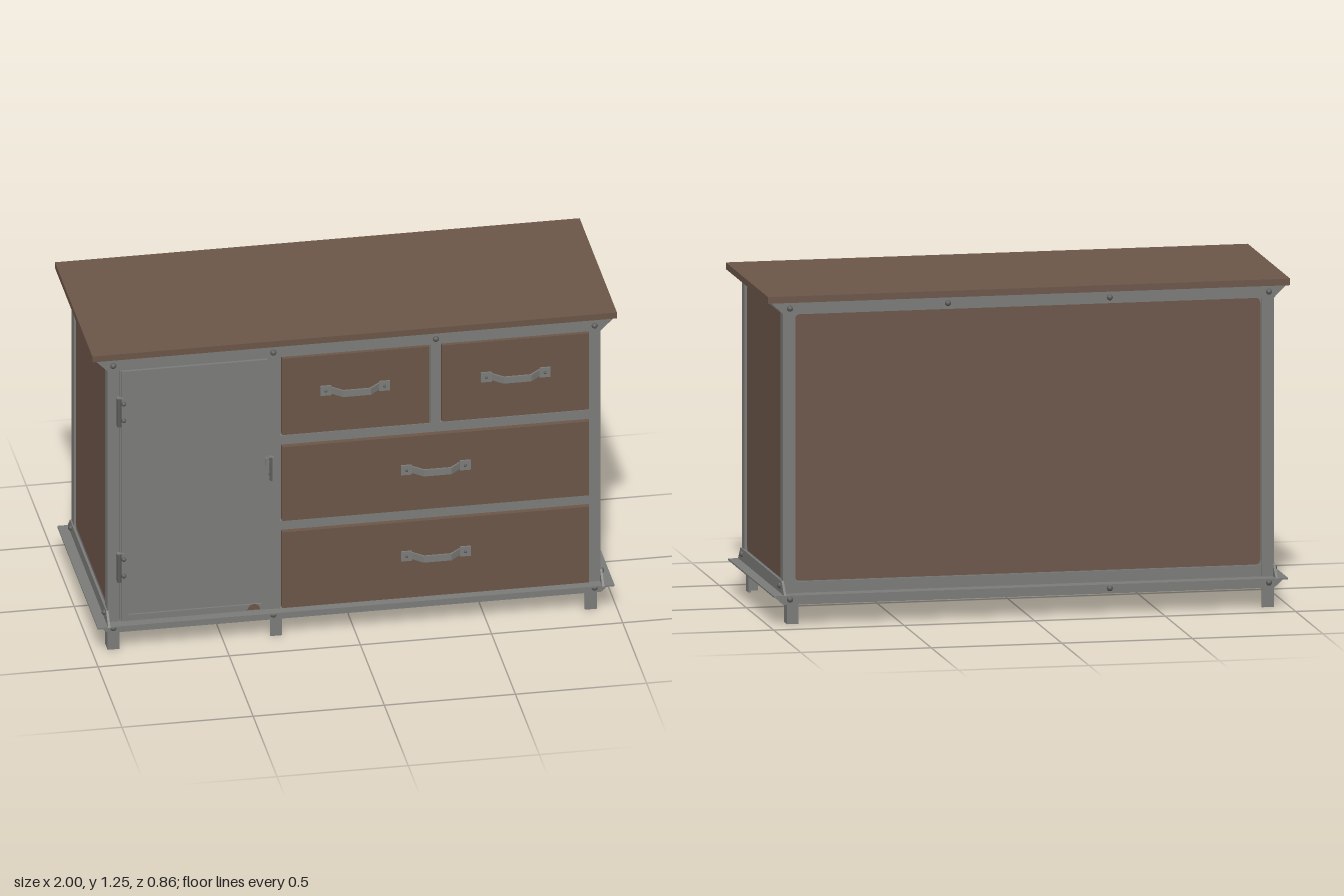
import * as THREE from 'three';

const wood = new THREE.MeshStandardMaterial({ color: 0x6b5548, name: 'brownPaint' });
const steel = new THREE.MeshStandardMaterial({ color: 0x7a7a78, name: 'greySteel' });
const dark = new THREE.MeshStandardMaterial({ color: 0x5c5c5a, name: 'darkSteel' });

export function createModel() {
  const root = new THREE.Group();
  root.name = 'sideboard';

  const add = (name, geo, mat, parent = root) => {
    const m = new THREE.Mesh(geo, mat);
    m.name = name;
    parent.add(m);
    return m;
  };
  // Box given by its limits on each axis
  const box = (name, mat, x0, x1, y0, y1, z0, z1, parent = root) => {
    const m = add(name, new THREE.BoxGeometry(x1 - x0, y1 - y0, z1 - z0), mat, parent);
    m.position.set((x0 + x1) / 2, (y0 + y1) / 2, (z0 + z1) / 2);
    return m;
  };
  const plate = (points, depth) => new THREE.ExtrudeGeometry(
    new THREE.Shape(points.map(p => new THREE.Vector2(...p))), { depth, bevelEnabled: false });

  // Rounded panel centred on its own origin
  const roundedPanel = (w, h, r, depth) => {
    const s = new THREE.Shape(), x = w / 2, y = h / 2;
    s.moveTo(-x + r, -y);
    s.lineTo(x - r, -y); s.quadraticCurveTo(x, -y, x, -y + r);
    s.lineTo(x, y - r); s.quadraticCurveTo(x, y, x - r, y);
    s.lineTo(-x + r, y); s.quadraticCurveTo(-x, y, -x, y - r);
    s.lineTo(-x, -y + r); s.quadraticCurveTo(-x, -y, -x + r, -y);
    return new THREE.ExtrudeGeometry(s, { depth, bevelEnabled: false, curveSegments: 5 });
  };

  // Domed bolt pointing along +z, turned about y
  const boltGeo = new THREE.SphereGeometry(0.012, 10, 5, 0, Math.PI * 2, 0, Math.PI / 2);
  boltGeo.rotateX(Math.PI / 2);
  const bolt = (x, y, z, turn = 0, parent = root, size = 1) => {
    const m = add('bolt', boltGeo, dark, parent);
    m.position.set(x, y, z);
    m.rotation.y = turn;
    m.scale.setScalar(size);
  };

  // Top board and carcass
  box('topBoard', wood, -1, 1, 1.225, 1.25, -0.4, 0.38);
  box('carcass', steel, -0.925, 0.925, 0.113, 1.225, -0.372, 0.36);

  // Corner posts of angle iron, and legs
  const angleIron = (name, x, z, sx, sz, y0, y1, wx, wz) => {
    const t = 0.009, g = new THREE.Group();
    g.name = name;
    root.add(g);
    const span = (a, s, w) => (s > 0 ? [a - w, a] : [a, a + w]);
    box('flange', steel, ...span(x, sx, wx), y0, y1, ...span(z, sz, t), g);
    box('flange', steel, ...span(x, sx, t), y0, y1, ...span(z - sz * t, sz, wz - t), g);
  };
  for (const sx of [-1, 1]) {
    for (const sz of [-1, 1]) {
      const z = sz > 0 ? 0.37 : -0.385;
      angleIron('cornerPost', sx * 0.94, z, sx, sz, 0.115, 1.225, 0.045, 0.05);
      angleIron('leg', sx > 0 ? 0.925 : -0.94, z, sx, sz, 0, 0.114, 0.045, 0.05);
    }
  }
  angleIron('middleLeg', -0.275, 0.37, 1, 1, 0, 0.114, 0.045, 0.05);

  // Front and back rails with slanted ends
  for (const [sz, z] of [[1, 0.37], [-1, -0.385]]) {
    const zBack = sz > 0 ? z : z - 0.009;
    const face = z + sz * 0.009, turn = sz > 0 ? 0 : Math.PI;
    for (const [name, y0, y1] of [['topRail', 1.18, 1.225], ['bottomRail', 0.075, 0.115]]) {
      const g = plate([[-0.94, y0], [0.94, y0], [0.985, y1], [-0.985, y1]], 0.009);
      add(name, g, steel).position.z = zBack;
      for (const x of [-0.92, -0.31, 0.31, 0.915]) {
        if (y0 < 1 && x === 0.31) continue;
        bolt(x, (y0 + y1) / 2, face, turn);
      }
    }
  }

  // Side rails, panels and bolts
  for (const sx of [-1, 1]) {
    const side = new THREE.Group();
    side.name = sx > 0 ? 'leftSide' : 'rightSide';
    root.add(side);
    const xr = sx > 0 ? [0.93, 0.942] : [-0.942, -0.93];
    box('sideTopRail', steel, ...xr, 1.18, 1.225, -0.384, 0.369, side);
    const rail = plate([[-0.415, 0.115], [0.435, 0.115], [0.385, 0.165], [-0.37, 0.165]], 0.009);
    rail.rotateY(Math.PI / 2);
    add('sideBottomRail', rail, steel, side).position.x = sx > 0 ? 0.937 : -0.946;
    const p = add('sidePanel', roundedPanel(0.65, 1.012, 0.03, 0.009), wood, side);
    p.rotation.y = sx * Math.PI / 2;
    p.position.set(sx * 0.923, 0.67, -0.01);
    for (const z of [0.34, -0.36]) {
      bolt(sx * 0.942, 1.2, z, sx * Math.PI / 2, side);
      bolt(sx * 0.946, 0.145, z, sx * Math.PI / 2, side);
    }
  }

  // Ledge around the foot
  box('frontLedge', steel, -0.985, 0.985, 0.111, 0.117, 0.36, 0.412);
  box('backLedge', steel, -0.985, 0.985, 0.111, 0.117, -0.435, -0.37);
  for (const x of [-0.985, 0.92]) box('sideLedge', steel, x, x + 0.065, 0.111, 0.117, -0.37, 0.36);

  // Back panel with its lower frame bar
  box('backLowerBar', steel, -0.895, 0.895, 0.117, 0.16, -0.38, -0.37);
  const back = add('backPanel', roundedPanel(1.78, 1.015, 0.02, 0.007), wood);
  back.rotation.y = Math.PI;
  back.position.set(0, 0.67, -0.37);

  // Front frame bars between the drawers
  box('stile', steel, -0.325, -0.283, 0.117, 1.18, 0.36, 0.375);
  box('drawerDivider', steel, 0.29, 0.327, 0.845, 1.18, 0.36, 0.375);
  for (const y of [0.448, 0.808]) box('crossBar', steel, -0.283, 0.897, y, y + 0.038, 0.36, 0.375);

  // Bent strap handle, profile in x and z
  const strap = plate([[-0.132, 0], [-0.09, 0], [-0.05, 0.036], [0.05, 0.036], [0.09, 0], [0.132, 0],
    [0.132, 0.006], [0.092, 0.006], [0.053, 0.043], [-0.053, 0.043], [-0.092, 0.006], [-0.132, 0.006]], 0.027);
  strap.rotateX(Math.PI / 2);
  strap.translate(0, 0.0135, 0);

  // Drawers: left, right, top, bottom, handle x and y
  const drawers = [
    [-0.277, 0.285, 1.175, 0.853, 0, 1.028],
    [0.332, 0.893, 1.175, 0.853, 0.612, 1.028],
    [-0.277, 0.893, 0.802, 0.49, 0.308, 0.664],
    [-0.277, 0.893, 0.442, 0.122, 0.308, 0.3],
  ];
  for (const [x0, x1, y1, y0, hx, hy] of drawers) {
    const d = new THREE.Group();
    d.name = 'drawer';
    root.add(d);
    box('drawerFront', wood, x0, x1, y0, y1, 0.36, 0.385, d);
    add('handle', strap, steel, d).position.set(hx, hy, 0.385);
    for (const s of [-1, 1]) {
      const x = hx + s * 0.112;
      box('handleFoot', steel, x - 0.021, x + 0.021, hy - 0.02, hy + 0.02, 0.385, 0.392, d);
      bolt(x, hy, 0.392, 0, d, 0.5);
    }
  }

  // Door: plain sheet inside a raised border
  const door = new THREE.Group();
  door.name = 'door';
  root.add(door);
  box('doorSheet', steel, -0.893, -0.328, 0.122, 1.176, 0.36, 0.375, door);
  for (const x of [-0.888, -0.353]) box('doorBorder', steel, x, x + 0.025, 0.122, 1.176, 0.375, 0.383, door);
  for (const y of [0.122, 1.151]) box('doorBorder', steel, -0.863, -0.353, y, y + 0.025, 0.375, 0.383, door);

  // Hinges
  for (const y of [1.008, 0.352]) {
    const h = new THREE.Group();
    h.name = 'hinge';
    door.add(h);
    box('hingeLeaf', steel, -0.908, -0.88, y - 0.058, y + 0.058, 0.37, 0.39, h);
    const pin = add('hingePin', new THREE.CylinderGeometry(0.008, 0.008, 0.116, 10), dark, h);
    pin.position.set(-0.9, y, 0.392);
    for (const dy of [-0.035, 0.035]) bolt(-0.882, y + dy, 0.39, 0, h, 0.8);
  }

  // Latch with an upright grip
  const latch = new THREE.Group();
  latch.name = 'latch';
  door.add(latch);
  box('latchPlate', steel, -0.343, -0.31, 0.735, 0.765, 0.375, 0.394, latch);
  box('latchGrip', dark, -0.329, -0.319, 0.68, 0.775, 0.408, 0.417, latch);
  for (const y of [0.69, 0.755]) box('latchArm', steel, -0.329, -0.319, y, y + 0.012, 0.375, 0.41, latch);

  // Worn paint patch low on the door
  const patch = add('wornPatch', new THREE.CircleGeometry(0.024, 12, 0, Math.PI), wood, door);
  patch.position.set(-0.385, 0.125, 0.3845);

  return root;
}
